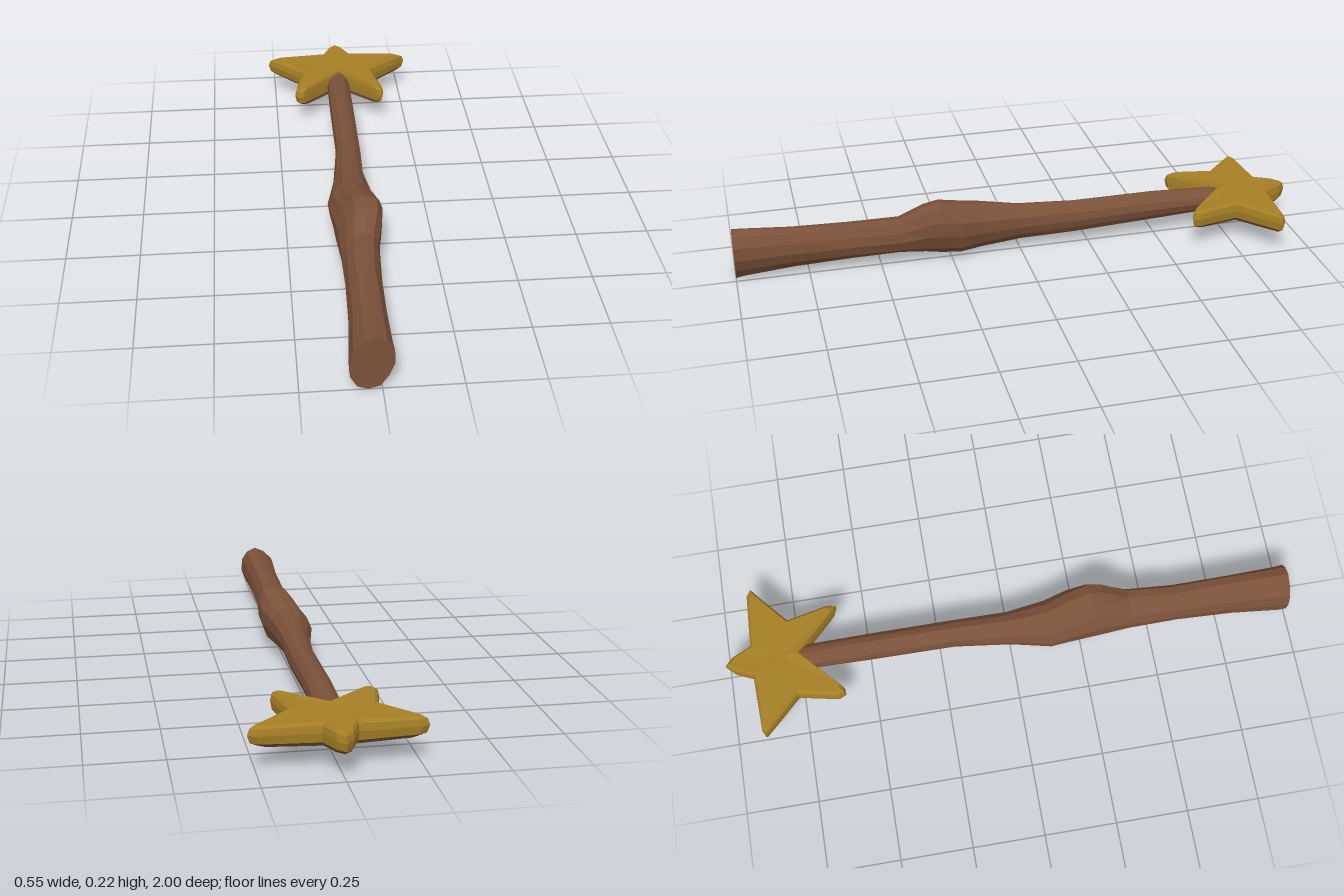
import * as THREE from 'three';

// Skin a list of rings (each a loop of [x, y, z]) and optionally cap the ends.
function loft(rings, capStart, capEnd) {
  const pos = [];
  const tri = (...p) => p.forEach((v) => pos.push(...v));
  const middle = (ring) => [0, 1, 2].map((k) => ring.reduce((s, p) => s + p[k], 0) / ring.length);
  const n = rings[0].length;
  for (let j = 0; j < n; j++) {
    const k = (j + 1) % n;
    for (let i = 0; i < rings.length - 1; i++) {
      const [a, b, c, d] = [rings[i][j], rings[i][k], rings[i + 1][j], rings[i + 1][k]];
      tri(a, c, b);
      tri(b, c, d);
    }
    const first = rings[0], last = rings[rings.length - 1];
    if (capStart) tri(middle(first), first[j], first[k]);
    if (capEnd) tri(middle(last), last[k], last[j]);
  }
  const geo = new THREE.BufferGeometry();
  geo.setAttribute('position', new THREE.Float32BufferAttribute(pos, 3));
  geo.computeVertexNormals(); // unshared corners give flat facets
  return geo;
}

export function createModel() {
  const group = new THREE.Group();
  const wood = new THREE.MeshStandardMaterial({ color: 0x7b5139 });
  wood.name = 'brown wood';
  const gold = new THREE.MeshStandardMaterial({ color: 0xa57f25 });
  gold.name = 'gold';

  const add = (name, geo, mat) => {
    const mesh = new THREE.Mesh(geo, mat);
    mesh.name = name;
    group.add(mesh);
  };

  // Gnarled stick: z, left x, right x, bottom y, top y, sideways lean of the top
  const sections = [
    [1.0, -0.1, 0.037, 0.0, 0.19, 0.012],
    [0.97, -0.1, 0.036, 0.004, 0.188, 0.012],
    [0.8, -0.085, 0.035, 0.02, 0.175, 0.01],
    [0.6, -0.08, 0.038, 0.03, 0.166, 0.005],
    [0.43, -0.08, 0.047, 0.03, 0.168, 0.012],
    [0.34, -0.083, 0.062, 0.015, 0.215, 0.025],
    [0.29, -0.088, 0.068, 0.007, 0.225, 0.025],
    [0.22, -0.095, 0.066, 0.003, 0.208, 0.018],
    [0.14, -0.105, 0.048, 0.013, 0.188, 0.012],
    [0.0, -0.075, 0.033, 0.032, 0.166, 0.005],
    [-0.2, -0.052, 0.038, 0.044, 0.16, 0],
    [-0.5, -0.052, 0.038, 0.058, 0.16, 0],
    [-0.76, -0.048, 0.038, 0.072, 0.148, 0],
  ];
  const sides = 12;
  const stick = sections.map(([z, x0, x1, y0, y1, lean], i) => {
    const ring = [];
    for (let j = 0; j < sides; j++) {
      const a = (j / sides) * Math.PI * 2;
      // shallow bark grooves between the four extremes
      const groove = j % 3 ? 1 + 0.035 * Math.sin(j * 2.7 + i * 0.6) : 1;
      ring.push([
        (x0 + x1) / 2 + ((x1 - x0) / 2) * Math.cos(a) * groove + lean * Math.sin(a),
        (y0 + y1) / 2 + ((y1 - y0) / 2) * Math.sin(a) * groove,
        z,
      ]);
    }
    return ring;
  });
  add('stick', loft(stick, true, true), wood);

  // Star outline (x, z) with blunt tips, anticlockwise from above
  const outline = [
    [0.025, -0.975], [0, -1], [-0.025, -0.975], [-0.055, -0.908],
    [-0.25, -0.9], [-0.275, -0.888], [-0.25, -0.862], [-0.15, -0.76],
    [-0.18, -0.62], [-0.17, -0.597], [-0.148, -0.6], [0, -0.738],
    [0.14, -0.597], [0.16, -0.59], [0.165, -0.615], [0.132, -0.765],
    [0.25, -0.865], [0.275, -0.885], [0.25, -0.9], [0.055, -0.908],
  ];
  const midY = 0.113, midZ = -0.79;
  // One level of the star, shrunk towards the middle and thinner at the tips
  const level = (y, scale) => outline.map(([x, z]) => {
    const thin = 1 - 0.7 * Math.hypot(x, z - midZ);
    return [x * scale, midY + (y - midY) * thin, midZ + (z - midZ) * scale];
  });
  add('starTop', loft([level(0.156, 0.9), level(0.144, 0.97), level(0.118, 1), level(0.086, 0.97)], true, false), gold);
  add('starUnderside', loft([level(0.086, 0.97), level(0.07, 0.88)], false, true), wood);

  return group;
}
